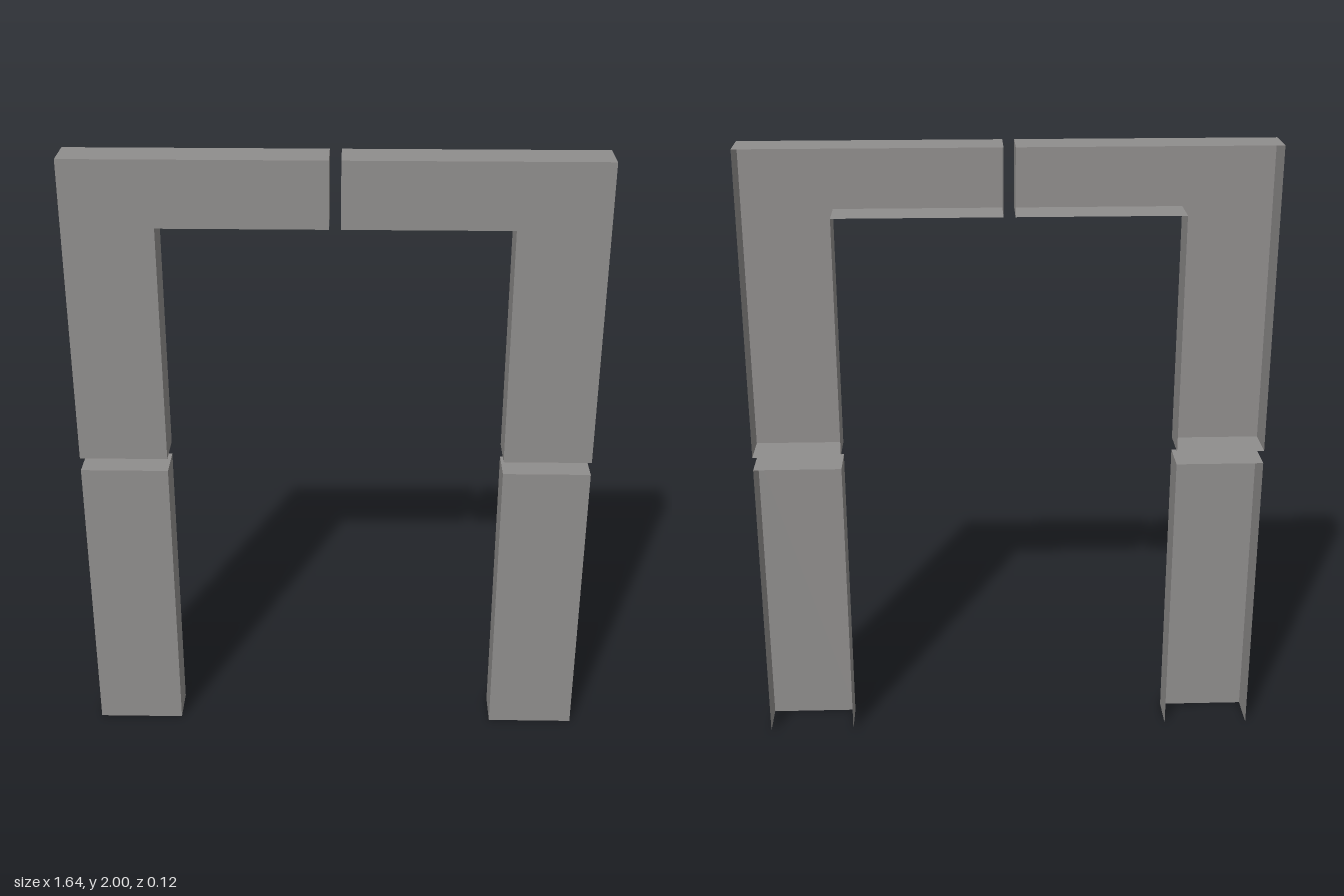
import * as THREE from 'three';

const HALF_DEPTH = 0.062;

// Front sheet plus a flange along each outline edge; the back stays open.
// Points run counter-clockwise; a true openBottom leaves out edges lying on y = 0.
function trimShell(points, openBottom) {
  const pos = [];
  const quad = (a, b, c, d) => pos.push(...a, ...b, ...c, ...a, ...c, ...d);
  const f = HALF_DEPTH;

  // front sheet
  const contour = points.map(([x, y]) => new THREE.Vector2(x, y));
  for (const tri of THREE.ShapeUtils.triangulateShape(contour, [])) {
    for (const i of tri) pos.push(points[i][0], points[i][1], f);
  }

  // flanges folded backwards
  points.forEach(([ax, ay], i) => {
    const [bx, by] = points[(i + 1) % points.length];
    if (openBottom && ay === 0 && by === 0) return;
    quad([ax, ay, f], [ax, ay, -f], [bx, by, -f], [bx, by, f]);
  });

  const geometry = new THREE.BufferGeometry();
  geometry.setAttribute('position', new THREE.Float32BufferAttribute(pos, 3));
  geometry.computeVertexNormals();
  return geometry;
}

const mirrored = (points) => points.map(([x, y]) => [-x, y]).reverse();

export function createModel() {
  const group = new THREE.Group();
  group.name = 'doorFrame';

  const grey = new THREE.MeshStandardMaterial({ color: 0x8f8d8c, side: THREE.DoubleSide });
  grey.name = 'frame grey';

  const corner = [
    [0.018, 1.79], [0.538, 1.79], [0.538, 1.018],
    [0.819, 1.018], [0.819, 2], [0.018, 2],
  ];
  const post = [[0.538, 0], [0.819, 0], [0.819, 0.975], [0.538, 0.975]];

  const add = (name, points, openBottom) => {
    const mesh = new THREE.Mesh(trimShell(points, openBottom), grey);
    mesh.name = name;
    group.add(mesh);
  };

  // upper corner pieces and lower posts
  add('leftUpperCorner', corner, false);
  add('rightUpperCorner', mirrored(corner), false);
  add('leftLowerPost', post, true);
  add('rightLowerPost', mirrored(post), true);

  return group;
}
